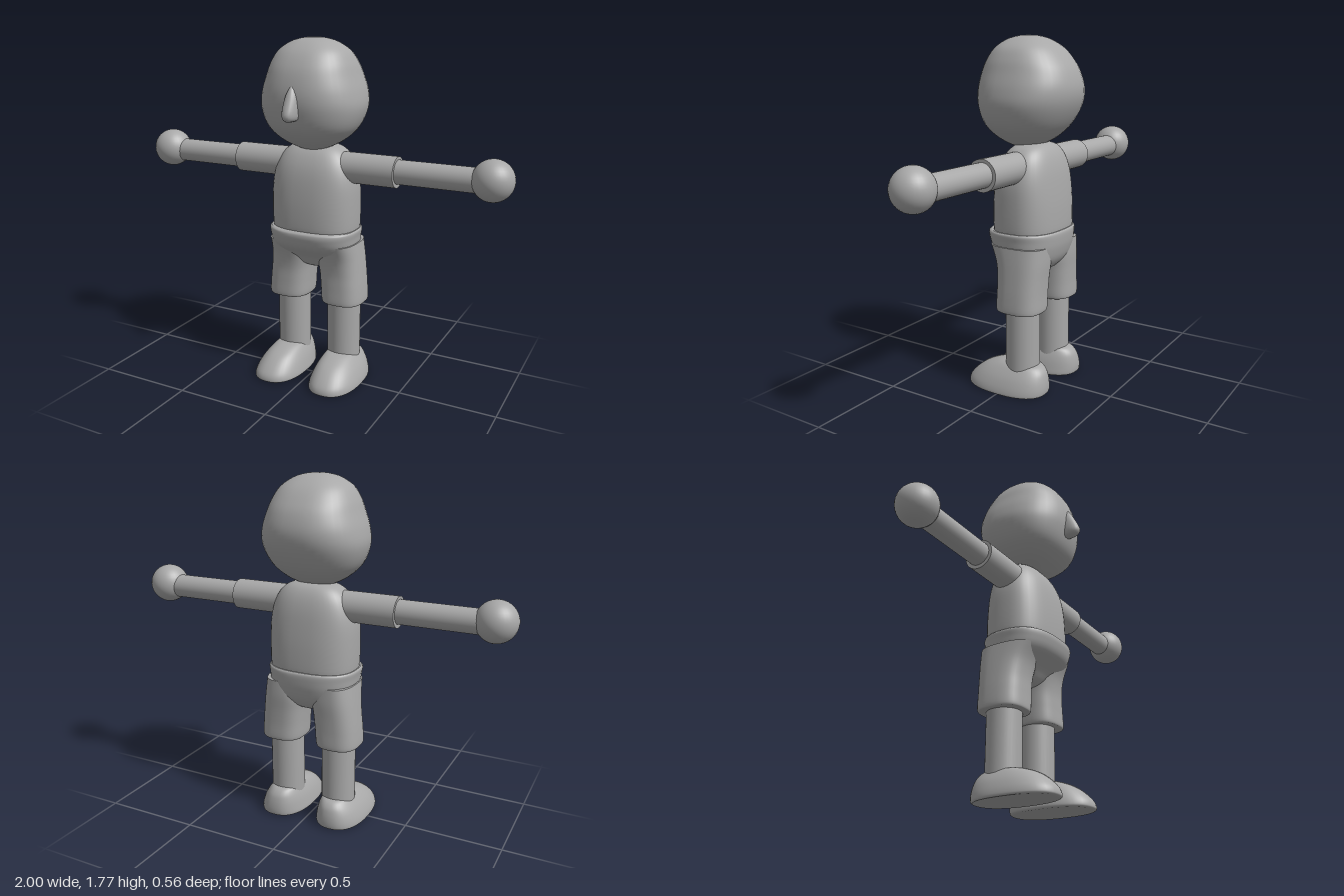
import * as THREE from 'three';

// Lofts rounded cross-sections. Each row is [y, xMin, xMax, zBack, zFront], listed upwards.
function loft(rows, power = 2.3, sub = 5, seg = 40) {
  const rings = [];
  const at = (i) => rows[Math.min(Math.max(i, 0), rows.length - 1)];
  for (let i = 0; i < rows.length - 1; i++) {
    for (let s = 0; s < sub; s++) {
      const t = s / sub;
      rings.push(at(i).map((p1, k) => {
        const p0 = at(i - 1)[k], p2 = at(i + 1)[k], p3 = at(i + 2)[k];
        return p1 + 0.5 * t * (p2 - p0 + t * (2 * p0 - 5 * p1 + 4 * p2 - p3 + t * (3 * (p1 - p2) + p3 - p0)));
      }));
    }
  }
  rings.push(at(rows.length - 1));

  const pos = [], index = [];
  const round = (v) => Math.sign(v) * Math.pow(Math.abs(v), 2 / power);
  const addRing = ([y, x0, x1, z0, z1]) => {
    const start = pos.length / 3;
    for (let j = 0; j < seg; j++) {
      const a = (j / seg) * Math.PI * 2;
      pos.push((x0 + x1) / 2 + round(Math.cos(a)) * (x1 - x0) / 2, y,
        (z0 + z1) / 2 + round(Math.sin(a)) * (z1 - z0) / 2);
    }
    return start;
  };
  rings.forEach(addRing);
  for (let i = 0; i < rings.length - 1; i++) {
    for (let j = 0; j < seg; j++) {
      const a = i * seg + j, b = i * seg + (j + 1) % seg;
      index.push(a, a + seg, b, b, a + seg, b + seg);
    }
  }
  // flat end caps
  for (const top of [false, true]) {
    const r = top ? rings[rings.length - 1] : rings[0];
    const start = addRing(r), centre = pos.length / 3;
    pos.push((r[1] + r[2]) / 2, r[0], (r[3] + r[4]) / 2);
    for (let j = 0; j < seg; j++) {
      const a = start + j, b = start + (j + 1) % seg;
      index.push(centre, top ? b : a, top ? a : b);
    }
  }
  const g = new THREE.BufferGeometry();
  g.setAttribute('position', new THREE.Float32BufferAttribute(pos, 3));
  g.setIndex(index);
  g.computeVertexNormals();
  return g;
}

// Row that is symmetric about x = 0
const sym = (y, half, back, front) => [y, -half, half, back, front];

export function createModel() {
  const model = new THREE.Group();
  model.name = 'figure';
  const grey = new THREE.MeshStandardMaterial({ color: 0xa8a8a8 });
  grey.name = 'plain grey';

  const add = (name, geometry, x = 0, y = 0, z = 0) => {
    const mesh = new THREE.Mesh(geometry, grey);
    mesh.name = name;
    mesh.position.set(x, y, z);
    model.add(mesh);
    return mesh;
  };

  // Head and nose
  add('head', loft([
    sym(1.232, 0.03, -0.04, 0.03), sym(1.245, 0.085, -0.08, 0.06), sym(1.285, 0.16, -0.15, 0.125),
    sym(1.35, 0.225, -0.215, 0.185), sym(1.44, 0.258, -0.265, 0.215), sym(1.52, 0.252, -0.28, 0.22),
    sym(1.6, 0.227, -0.262, 0.205), sym(1.66, 0.205, -0.227, 0.18), sym(1.715, 0.17, -0.178, 0.14),
    sym(1.755, 0.11, -0.115, 0.085), sym(1.772, 0.05, -0.06, 0.03), sym(1.775, 0.01, -0.02, 0),
  ], 2.35));
  add('nose', loft([
    sym(1.395, 0.01, 0.16, 0.25), sym(1.405, 0.028, 0.15, 0.272), sym(1.435, 0.035, 0.15, 0.28),
    sym(1.5, 0.032, 0.15, 0.252), sym(1.54, 0.02, 0.15, 0.23), sym(1.562, 0.005, 0.15, 0.213),
  ], 2.3, 4, 24));

  // Shirt body
  add('torso', loft([
    sym(0.815, 0.215, -0.2, 0.11), sym(0.835, 0.224, -0.21, 0.122), sym(0.95, 0.227, -0.208, 0.122),
    sym(1.06, 0.224, -0.198, 0.112), sym(1.14, 0.207, -0.185, 0.095), sym(1.2, 0.178, -0.165, 0.068),
    sym(1.24, 0.135, -0.137, 0.035), sym(1.258, 0.075, -0.1, 0), sym(1.262, 0.015, -0.05, -0.03),
  ], 2.6));

  // Shorts: hips plus two legs
  add('shortsHips', loft([
    sym(0.608, 0.03, -0.11, -0.02), sym(0.63, 0.09, -0.155, 0.02), sym(0.68, 0.19, -0.195, 0.06),
    sym(0.74, 0.223, -0.215, 0.125), sym(0.79, 0.231, -0.222, 0.148), sym(0.82, 0.235, -0.222, 0.15),
    sym(0.83, 0.228, -0.214, 0.14),
  ], 2.6));
  const shortsLeg = loft([
    [0.433, 0.055, 0.255, -0.18, 0.04], [0.443, 0.043, 0.266, -0.191, 0.05], [0.52, 0.037, 0.262, -0.192, 0.049],
    [0.6, 0.03, 0.254, -0.195, 0.05], [0.68, 0.02, 0.245, -0.2, 0.065], [0.76, 0.03, 0.235, -0.2, 0.1],
  ], 2.7);

  const shoe = loft([
    [0.005, 0.04, 0.285, -0.208, 0.215], [0.014, 0.031, 0.291, -0.217, 0.226], [0.045, 0.036, 0.284, -0.219, 0.217],
    [0.085, 0.047, 0.266, -0.214, 0.18], [0.12, 0.062, 0.242, -0.202, 0.13], [0.145, 0.078, 0.218, -0.175, 0.065],
    [0.154, 0.1, 0.19, -0.13, 0.02],
  ], 2.4);

  // Limbs, built for the left and mirrored to the right
  const calf = new THREE.CylinderGeometry(0.087, 0.087, 0.36, 32);
  const sleeve = new THREE.CylinderGeometry(0.077, 0.077, 0.29, 32).rotateZ(Math.PI / 2);
  const forearm = new THREE.CylinderGeometry(0.06, 0.06, 0.42, 32).rotateZ(Math.PI / 2);
  const hand = new THREE.SphereGeometry(0.1, 32, 20);
  for (const [side, s] of [['left', 1], ['right', -1]]) {
    for (const [part, geometry] of [['ShortsLeg', shortsLeg], ['Shoe', shoe]]) {
      add(side + part, geometry).scale.x = s;
    }
    add(side + 'Calf', calf, s * 0.148, 0.29, -0.073);
    add(side + 'Sleeve', sleeve, s * 0.295, 1.148, -0.04);
    add(side + 'Forearm', forearm, s * 0.62, 1.15, -0.04);
    add(side + 'Hand', hand, s * 0.9, 1.158, -0.035);
  }
  return model;
}
